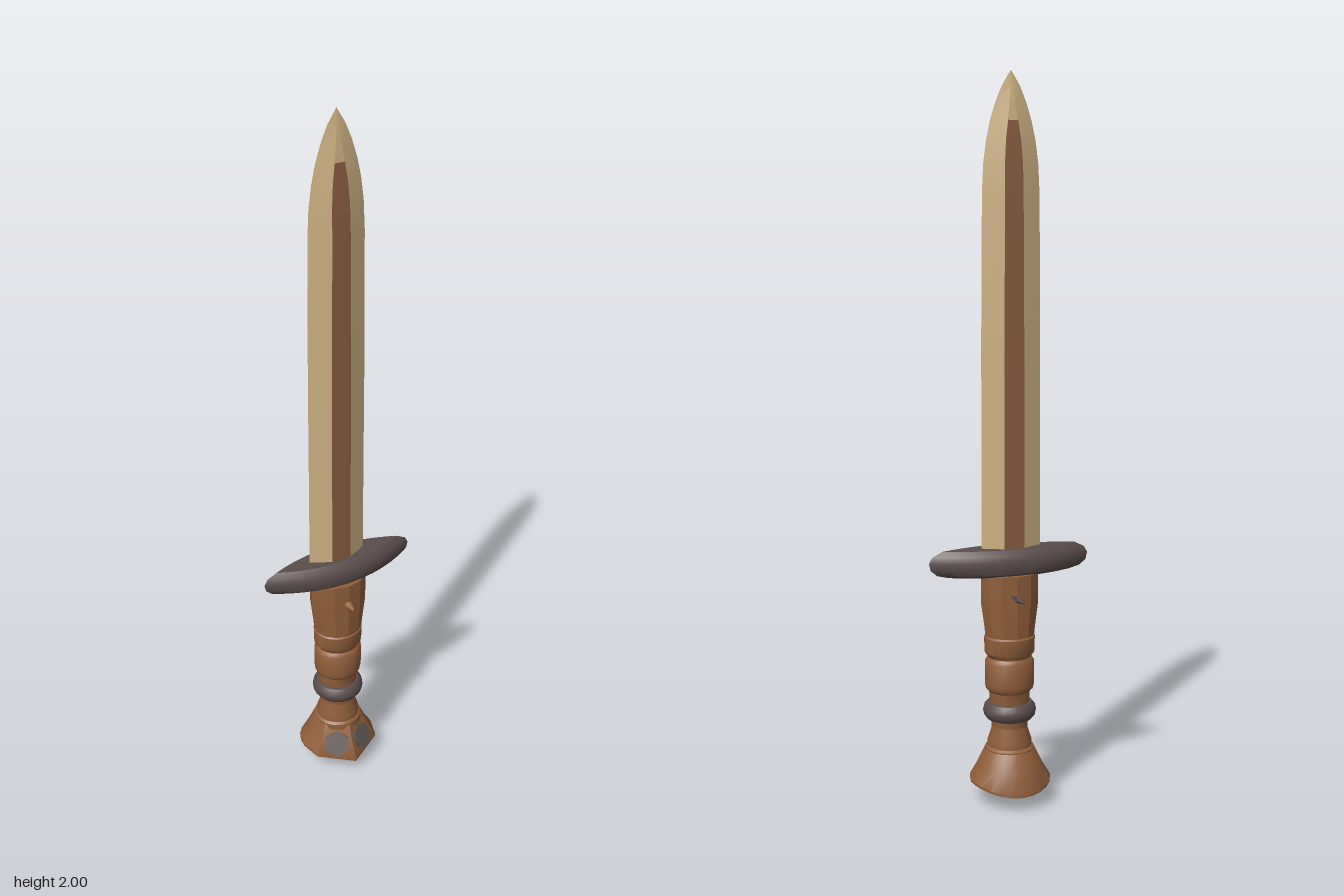
import * as THREE from 'three';
import { toCreasedNormals } from 'three/addons/utils/BufferGeometryUtils.js';

const mat = (name, color, side = THREE.FrontSide) => {
  const m = new THREE.MeshStandardMaterial({ color, side });
  m.name = name;
  return m;
};

// Skin stacked cross-sections, each a list of [x, y, z] running anticlockwise from above
function loft(rows, closed = true, crease = 0.6) {
  const n = rows[0].length, index = [];
  for (let i = 0; i < rows.length - 1; i++) {
    for (let j = 0; j < (closed ? n : n - 1); j++) {
      const k = (j + 1) % n;
      const a = i * n + j, b = i * n + k, c = b + n, d = a + n;
      index.push(a, b, c, a, c, d);
    }
  }
  const g = new THREE.BufferGeometry();
  g.setAttribute('position', new THREE.Float32BufferAttribute(rows.flat(2), 3));
  g.setIndex(index);
  return toCreasedNormals(g, crease);
}

// Elliptical rings from a profile of [y, radiusX, radiusZ]
const rings = (profile, sides) => profile.map(([y, rx, rz]) =>
  Array.from({ length: sides }, (_, j) => {
    const a = (j / sides) * Math.PI * 2;
    return [rx * Math.sin(a), y, rz * Math.cos(a)];
  }));

export function createModel() {
  const group = new THREE.Group();
  const steel = mat('bladeGold', 0xcdb182);
  const groove = mat('grooveBrown', 0x885c40, THREE.DoubleSide);
  const wood = mat('gripBrown', 0x8f5e3a);
  const dark = mat('darkMetal', 0x5a4d4c);
  const grey = mat('patchGrey', 0x5e5653, THREE.DoubleSide);
  const add = (name, geometry, material) => {
    const m = new THREE.Mesh(geometry, material);
    m.name = name;
    group.add(m);
    return m;
  };

  // Blade: six-sided section [y, halfWidth, halfFlat, halfThickness]
  const cx = -0.004;
  const blade = [
    [0.70, 0.085, 0.029, 0.028], [1.3, 0.084, 0.028, 0.027], [1.68, 0.081, 0.026, 0.026],
    [1.76, 0.077, 0.025, 0.0235], [1.82, 0.069, 0.021, 0.02], [1.87, 0.058, 0.014, 0.0165],
    [1.92, 0.042, 0.007, 0.011], [1.96, 0.025, 0.003, 0.006], [2.0, 0, 0, 0],
  ];
  add('blade', loft(blade.map(([y, w, f, t]) => [
    [cx - f, y, t], [cx + f, y, t], [cx + w, y, 0],
    [cx + f, y, -t], [cx - f, y, -t], [cx - w, y, 0],
  ]), true, 0.3), steel);

  // Brown central groove on both faces
  for (const s of [1, -1]) {
    add(s > 0 ? 'frontGroove' : 'backGroove', loft(blade.slice(0, 6).map(([y, , f, t]) => [
      [cx - s * f, y, s * (t + 0.0012)], [cx + s * f, y, s * (t + 0.0012)],
    ]), false), groove);
  }

  // Guard: pointed lens outline, rounded in height
  const guardProfile = [
    [0.652, 0, 0], [0.652, 0.76, 0.72], [0.66, 0.9, 0.92], [0.675, 0.98, 1],
    [0.695, 1, 1], [0.712, 0.96, 0.92], [0.726, 0.84, 0.68], [0.727, 0, 0],
  ];
  add('guard', loft(guardProfile.map(([y, sx, sz]) =>
    Array.from({ length: 28 }, (_, j) => {
      const a = (j / 28) * Math.PI * 2, u = Math.sin(a);
      return [0.23 * sx * u, y, 0.062 * sz * (1 - u * u) * Math.sign(Math.cos(a))];
    }))), dark);

  // Grip: flared collar, then two bands and a narrow waist
  add('gripCollar', loft(rings([
    [0.48, 0, 0], [0.48, 0.07, 0.064], [0.5, 0.072, 0.065], [0.575, 0.083, 0.066],
    [0.655, 0.083, 0.066], [0.655, 0, 0],
  ], 12), true, 0.4), wood);
  add('gripBands', loft(rings([
    [0.22, 0.05, 0.05], [0.29, 0.055, 0.055], [0.32, 0.057, 0.057], [0.328, 0.066, 0.063],
    [0.34, 0.069, 0.065], [0.405, 0.069, 0.065], [0.413, 0.064, 0.061], [0.418, 0.06, 0.057],
    [0.424, 0.064, 0.059], [0.432, 0.07, 0.064], [0.475, 0.071, 0.065], [0.482, 0.064, 0.058],
    [0.49, 0.064, 0.058],
  ], 24)), wood);

  // Dark ring around the grip
  add('gripRing', loft(rings([
    [0.24, 0.048, 0.048], [0.242, 0.063, 0.063], [0.252, 0.071, 0.071], [0.265, 0.074, 0.074],
    [0.278, 0.071, 0.071], [0.288, 0.063, 0.063], [0.291, 0.048, 0.048],
  ], 24)), dark);

  // Neck above the pommel
  add('neck', loft(rings([
    [0.14, 0.07, 0.07], [0.158, 0.069, 0.069], [0.164, 0.062, 0.062], [0.18, 0.061, 0.061],
    [0.21, 0.051, 0.051], [0.245, 0.048, 0.048],
  ], 20)), wood);

  // Pommel: faceted in front, round behind, with a dipping rim and a pointed base
  const angles = [0, 60, 90, 105, 120, 135, 150, 165, 180, 195, 210, 225, 240, 255, 270, 300]
    .map(THREE.MathUtils.degToRad);
  const ring = (y, r, dip) => angles.map((a) =>
    [r * Math.sin(a), y - dip * Math.cos(a) ** 2, r * Math.cos(a)]);
  add('pommel', loft([
    ring(0.003, 0, 0), ring(0.066, 0.114, 0.02), ring(0.073, 0.114, 0.02),
    ring(0.11, 0.091, 0.004), ring(0.152, 0.071, 0), ring(0.158, 0.066, 0), ring(0.158, 0, 0),
  ], true, 0.5), wood);

  // Grey six-sided patches on the two front facets
  for (const s of [1, -1]) {
    const patch = add(s > 0 ? 'leftPatch' : 'rightPatch',
      new THREE.CylinderGeometry(0.039, 0.039, 0.008, 6), grey);
    patch.geometry.rotateX(Math.PI / 2).rotateX(-0.46);
    patch.position.set(s * 0.0425, 0.1, 0.0735);
    patch.rotation.y = s * Math.PI / 6;
  }

  // Front stud
  const stud = add('frontStud', new THREE.CylinderGeometry(0.004, 0.014, 0.034, 10), wood);
  stud.rotation.x = Math.PI / 2;
  stud.position.set(0, 0.59, 0.078);

  // Rear thorn with a short side twig
  const thorn = add('rearThorn', new THREE.ConeGeometry(0.011, 0.062, 8), dark);
  thorn.rotation.set(-Math.PI / 2, 0, 0.05);
  thorn.position.set(-0.003, 0.592, -0.087);
  const twig = add('thornTwig', new THREE.BoxGeometry(0.036, 0.008, 0.008), dark);
  twig.rotation.z = 0.5;
  twig.position.set(0, 0.594, -0.067);

  return group;
}
